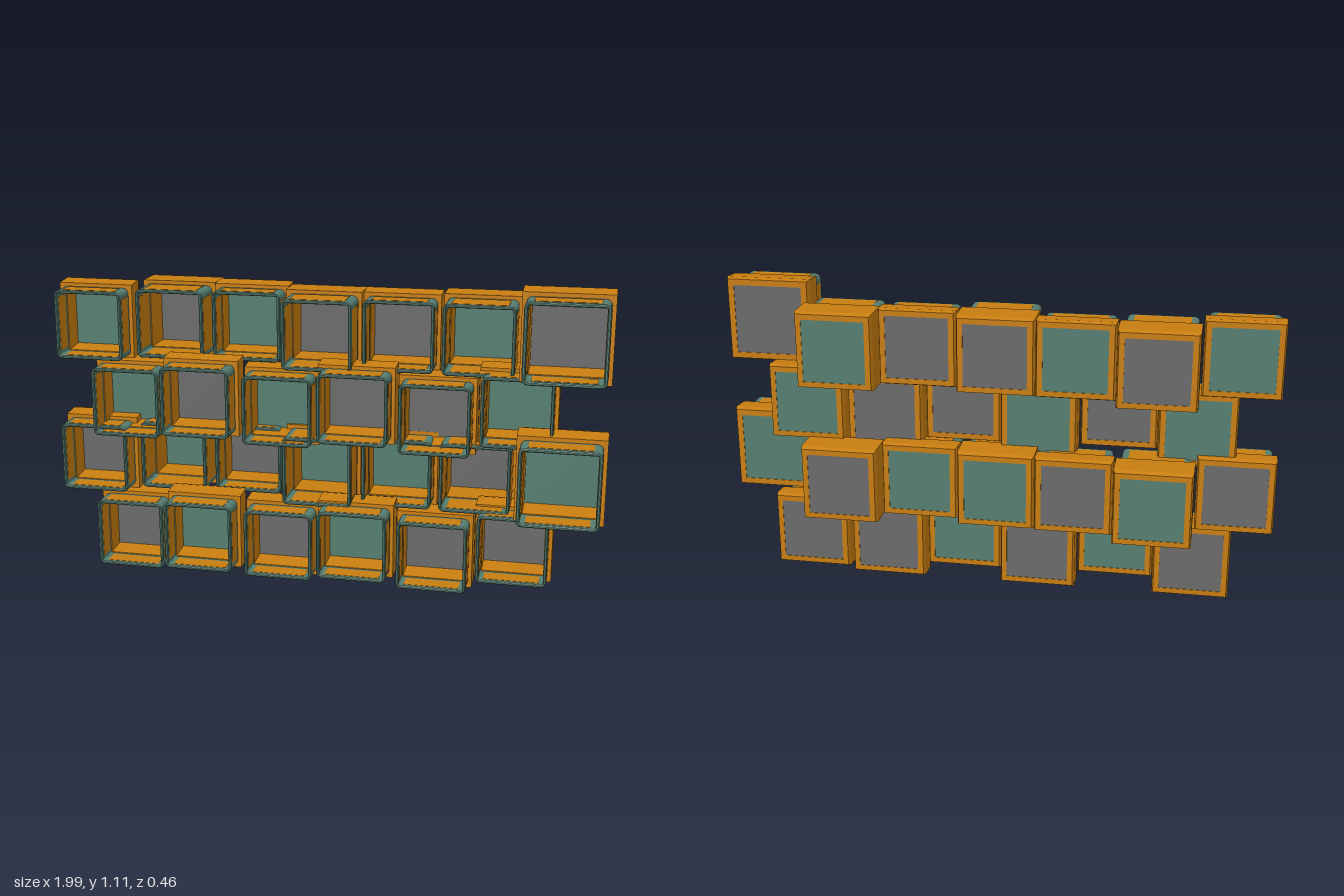
import * as THREE from 'three';

const material = (color, flatShading = true) => new THREE.MeshStandardMaterial({ color, flatShading });
const orange = material(0xc87d10);
const teal = material(0x557d70);
const grey = material(0x6a6a6a);

const BACK = 0.1375;  // half width of the rear housing
const FRONT = 0.125;  // half width of the front frame
const HOLE = 0.112;   // half width of the opening

// Square ring with a chamfered rear edge, running along z from 0 to depth
function housingGeometry(depth, lift) {
  const profile = [
    [HOLE, 0], [BACK - 0.006, 0], [BACK, 0.02], [BACK, depth],
    [HOLE, depth], [HOLE, 0],
  ].map(([r, z]) => new THREE.Vector2(r * Math.SQRT2, z));
  const g = new THREE.LatheGeometry(profile, 4, Math.PI / 4).rotateX(Math.PI / 2);
  // The shallow housings rise slightly toward the rear
  const p = g.attributes.position;
  for (let i = 0; i < p.count; i++) p.setY(i, p.getY(i) + lift * (1 - p.getZ(i) / depth));
  return g;
}

function roundedSquare(half, r, Type = THREE.Shape) {
  const s = new Type();
  const c = half - r;
  s.absarc(c, c, r, 0, Math.PI / 2);
  s.absarc(-c, c, r, Math.PI / 2, Math.PI);
  s.absarc(-c, -c, r, Math.PI, Math.PI * 1.5);
  s.absarc(c, -c, r, Math.PI * 1.5, Math.PI * 2);
  s.closePath();
  return s;
}

// Thin rounded ring with softened edges, from z = 0 to depth
function frameGeometry(depth) {
  const b = 0.003;
  const shape = roundedSquare(FRONT - b, 0.016);
  shape.holes.push(roundedSquare(0.114 + b, 0.008, THREE.Path));
  return new THREE.ExtrudeGeometry(shape, {
    depth: depth - 2 * b, bevelThickness: b, bevelSize: b, bevelSegments: 1, curveSegments: 3,
  }).translate(0, 0, b);
}

function add(parent, name, geometry, mat) {
  const mesh = new THREE.Mesh(geometry, mat);
  mesh.name = name;
  parent.add(mesh);
  return mesh;
}

// One open cubby: rear housing, coloured back panel, front frame and its side panels
function makeCubby(depth, panelMaterial) {
  const cubby = new THREE.Group();
  cubby.name = 'cubby';
  const half = depth / 2;
  const lift = depth < 0.2 ? 0.008 : 0;
  add(cubby, 'rearHousing', housingGeometry(half, lift), orange);
  add(cubby, 'backPanel', new THREE.BoxGeometry(2 * HOLE, 2 * HOLE, 0.01), panelMaterial)
    .position.set(0, lift, 0.007);

  const front = new THREE.Group();
  front.name = 'frontFrame';
  front.position.z = half;
  cubby.add(front);
  add(front, 'frameTrim', frameGeometry(half), teal);
  for (let i = 0; i < 4; i++) {
    const side = add(front, 'sidePanel', new THREE.BoxGeometry(0.013, 0.196, half - 0.032), orange);
    const a = i * Math.PI / 2;
    const r = (FRONT + 0.114) / 2;
    side.position.set(r * Math.cos(a), r * Math.sin(a), half / 2);
    side.rotation.z = a;
  }
  return cubby;
}

export function createModel() {
  const model = new THREE.Group();
  model.name = 'cubbyWall';
  const S = 0.185, D = 0.265; // shallow and deep cubbies

  // Seven-cubby rows: rear z and depth; the last one is larger
  const wide = [[-0.08, S], [-0.235, D], [-0.18, S], [-0.155, D], [-0.125, S], [-0.195, D], [0.018, S]];
  // Six-cubby rows: rear z, alternating low and high
  const narrow = [-0.045, 0.02, -0.045, 0, -0.045, -0.078];

  // Panel colours, t = teal, g = grey
  for (const [y, colours] of [[0.418, 'gtgttgt'], [0.915, 'tgtggtg']]) {
    wide.forEach(([z, depth], i) => {
      const big = i === 6;
      const cubby = makeCubby(depth, colours[i] === 't' ? teal : grey);
      cubby.position.set(big ? 0.84 : -0.86 + 0.28 * i, y + (big ? 0.035 : 0), z);
      if (big) cubby.scale.setScalar(1.12);
      model.add(cubby);
    });
  }
  for (const [y, colours] of [[0.141, 'gtgtgg'], [0.643, 'tgtggt']]) {
    narrow.forEach((z, i) => {
      const cubby = makeCubby(S, colours[i] === 't' ? teal : grey);
      cubby.position.set(-0.718 + 0.28 * i, y + (i % 2) * 0.033, z);
      model.add(cubby);
    });
  }
  return model;
}
